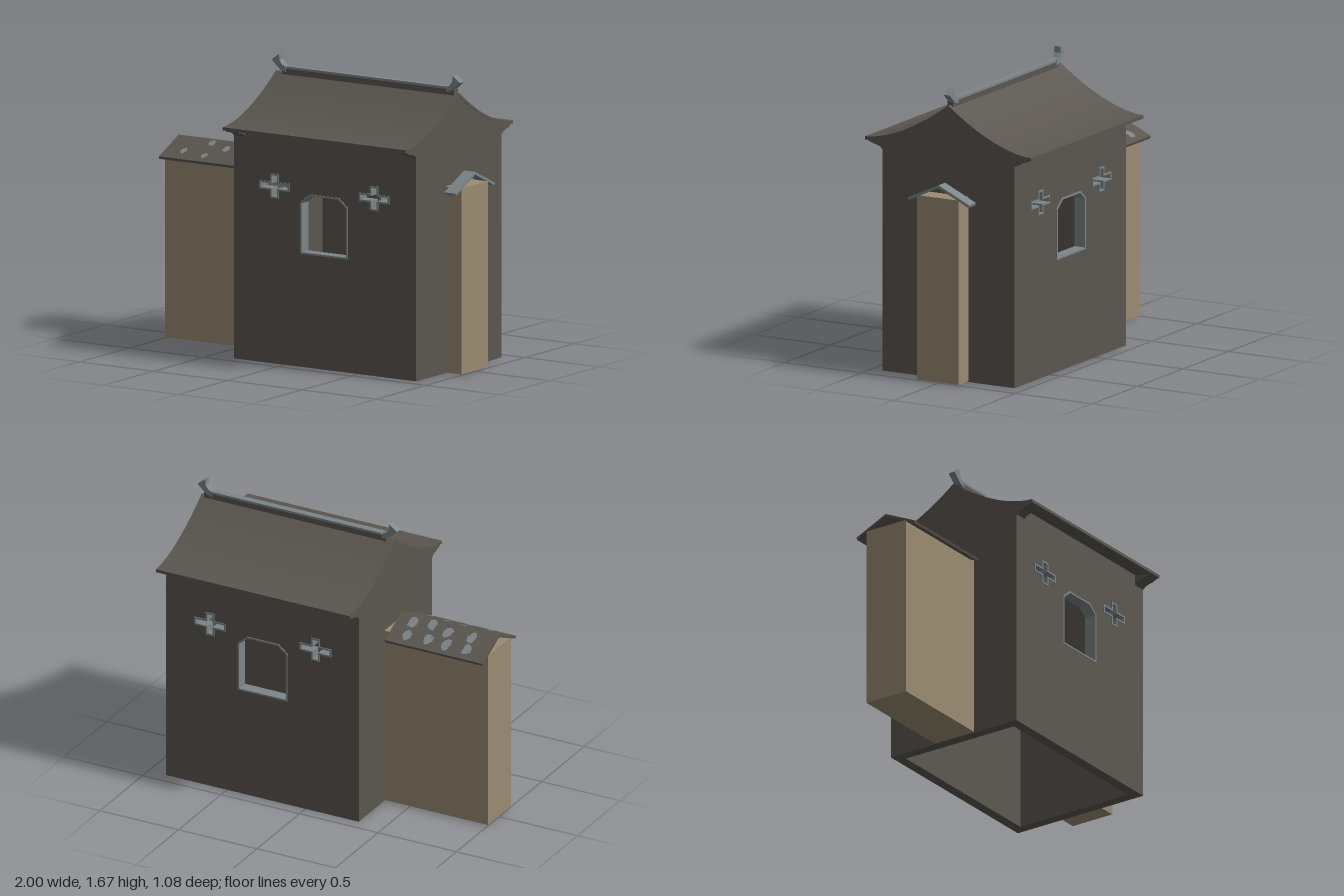
import * as THREE from 'three';

const material = (name, color, extra = {}) => {
  const m = new THREE.MeshStandardMaterial({ color, ...extra });
  m.name = name;
  return m;
};

export function createModel() {
  const group = new THREE.Group();
  group.name = 'gatehouse';
  const dark = material('darkStone', 0x5a564f);
  const tan = material('tanPlaster', 0x9a8b71);
  const light = material('paleStone', 0x7c8588);

  const X0 = -0.34, X1 = 0.89, MID = (X0 + X1) / 2, T = 0.06, DEPTH = 0.43;

  const add = (name, geometry, mat) => {
    const mesh = new THREE.Mesh(geometry, mat);
    mesh.name = name;
    group.add(mesh);
    return mesh;
  };
  const shapeOf = (pts) => new THREE.Shape(pts.map(([a, b]) => new THREE.Vector2(a, b)));
  const extrude = (shape, depth) => new THREE.ExtrudeGeometry(shape, { depth, bevelEnabled: false });
  // Extrude a (z, y) profile along x from xa to xb
  const alongX = (name, pts, xa, xb, mat) =>
    add(name, extrude(shapeOf(pts), xb - xa).rotateY(-Math.PI / 2).translate(xb, 0, 0), mat);
  const box = (name, x0, x1, y0, y1, z0, z1, mat) =>
    add(name, new THREE.BoxGeometry(x1 - x0, y1 - y0, z1 - z0)
      .translate((x0 + x1) / 2, (y0 + y1) / 2, (z0 + z1) / 2), mat);

  // Concave roof curve
  const EAVE = 0.54;
  const roofY = (z) => 1.335 + 0.24 * Math.pow(Math.max(0, 1 - Math.abs(z) / EAVE), 1.7);
  const curve = (half, drop, n = 24) => Array.from({ length: n + 1 }, (_, i) => {
    const z = -half + (2 * half * i) / n;
    return [z, roofY(z) - drop];
  });

  // Openings: a chamfered window and two crosses, grown by g for the frames
  const windowPts = (g) => [
    [0.12 - g, 0.655 - g], [0.42 + g, 0.655 - g], [0.42 + g, 0.935 + g * 0.5],
    [0.365 + g * 0.5, 0.98 + g], [0.175 - g * 0.5, 0.98 + g], [0.12 - g, 0.935 + g * 0.5],
  ];
  const crossPts = (cx, g) => {
    const a = 0.092 + g, b = 0.014 + g, c = 0.018 + g, d = 0.06 + g;
    return [[-a, -b], [-c, -b], [-c, -d], [c, -d], [c, -b], [a, -b],
      [a, b], [c, b], [c, d], [-c, d], [-c, b], [-a, b]].map(([x, y]) => [x + cx, y + 1.012]);
  };
  const openings = [
    ['windowFrame', windowPts],
    ['crossFrameRight', (g) => crossPts(-0.065, g)],
    ['crossFrameLeft', (g) => crossPts(0.607, g)],
  ];

  // Front and back walls with framed openings
  for (const side of [1, -1]) {
    const end = side > 0 ? 'front' : 'back';
    const wall = shapeOf([[X0, 0], [X1, 0], [X1, 1.335], [X0, 1.335]]);
    openings.forEach(([, pts]) => wall.holes.push(shapeOf(pts(0.01))));
    add(end + 'Wall', extrude(wall, T).translate(0, 0, side > 0 ? DEPTH - T : -DEPTH), dark);
    for (const [name, pts] of openings) {
      const frame = shapeOf(pts(0.01));
      frame.holes.push(shapeOf(pts(0)));
      const len = T + 0.01;
      add(end + name, extrude(frame, len).translate(0, 0, side > 0 ? DEPTH - T - 0.005 : -DEPTH - 0.005), light);
    }
  }

  // Gable walls
  const gable = [[-DEPTH, 0], ...curve(DEPTH, 0.01), [DEPTH, 0]].reverse();
  alongX('rightGable', gable, X0, X0 + T, dark);
  alongX('leftGable', gable, X1 - T, X1, dark);

  // Curved corbels under the eave corners
  for (const side of [1, -1]) {
    const corbel = [[0.42, 1.265], [0.433, 1.275], [0.445, 1.287], [0.47, 1.296], [0.5, 1.303],
      [0.53, 1.318], [0.53, 1.33], [0.42, 1.35]].map(([z, y]) => [z * side, y]);
    alongX('corbel', corbel, X0, X0 + 0.08, dark);
    alongX('corbel', corbel, X1 - 0.08, X1, dark);
  }

  // Main roof sheet
  alongX('mainRoof', [...curve(EAVE, 0), ...curve(EAVE, 0.018).reverse()], X0 - 0.003, X1 + 0.003, dark);

  // Ridge with upturned ends
  box('ridgeBase', X0 + 0.05, X1 - 0.02, 1.56, 1.595, -0.018, 0.018, dark);
  box('ridgeCap', X0 + 0.08, X1 - 0.05, 1.595, 1.608, -0.02, 0.02, light);
  for (const side of [1, -1]) {
    const horn = [[0.54, 1.575], [0.575, 1.585], [0.605, 1.61], [0.635, 1.638], [0.585, 1.675],
      [0.583, 1.64], [0.565, 1.615], [0.54, 1.607]].map(([x, y]) => [MID + x * side, y]);
    add('ridgeHorn', extrude(shapeOf(horn), 0.04).translate(0, 0, -0.02), light);
  }

  // Side walls with small pitched copings
  const coping = [[-0.195, 1.03], [0, 1.122], [0.195, 1.03], [0.2, 1.045], [0, 1.138], [-0.2, 1.045]];
  box('rightSideWall', -1, X0 + 0.01, 0.005, 1.065, -0.13, 0.14, tan);
  box('leftSideWall', X1 - 0.01, 1, 0.005, 1.065, -0.13, 0.14, tan);
  alongX('rightCoping', coping, -1, -0.38, dark);
  alongX('leftCoping', coping, 0.925, 1, light);

  // Weathered pale patches on the long coping
  let seed = 7;
  const rand = () => (seed = (seed * 16807) % 2147483647) / 2147483647;
  const slope = Math.atan2(0.093, 0.2);
  const patches = [[-0.87, -0.14], [-0.86, -0.06], [-0.74, -0.14], [-0.71, -0.06], [-0.62, -0.13],
    [-0.6, -0.04], [-0.49, -0.14], [-0.48, -0.05], [-0.75, 0.04], [-0.88, 0.13], [-0.63, 0.07],
    [-0.73, 0.15], [-0.49, 0.14]];
  for (const [x, z] of patches) {
    const r = z < 0 ? 0.036 : 0.026;
    const outline = Array.from({ length: 9 }, (_, i) => {
      const a = (i / 9) * Math.PI * 2, k = r * (0.75 + 0.45 * rand());
      return [Math.cos(a) * k * 0.8, Math.sin(a) * k * 1.1];
    });
    const patch = add('copingPatch', new THREE.ShapeGeometry(shapeOf(outline)).rotateX(-Math.PI / 2), light);
    patch.rotation.x = Math.sign(z) * slope;
    patch.position.set(x, 1.138 - Math.abs(z) * 0.465 + 0.003, z);
  }
  return group;
}
